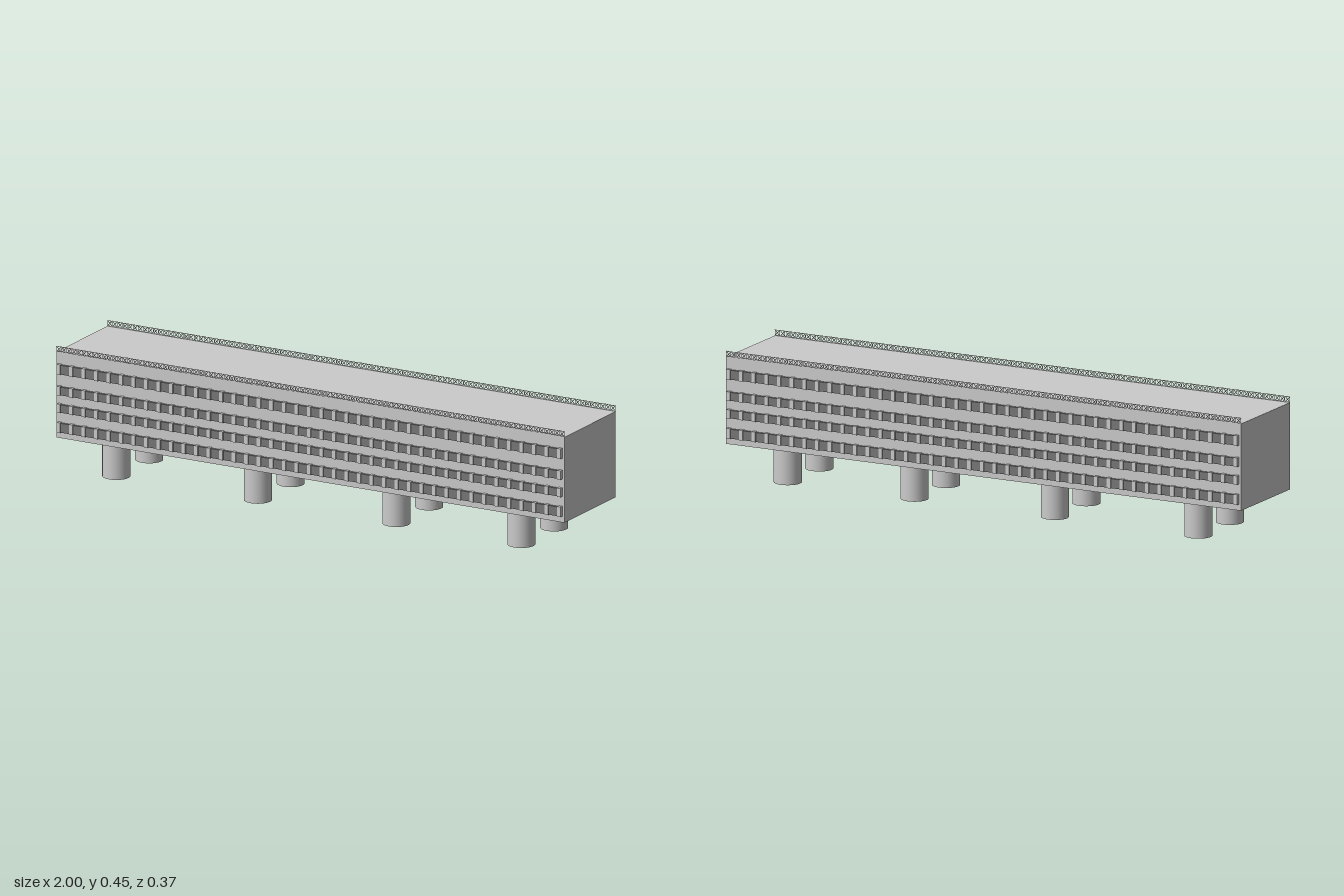
import * as THREE from 'three';
import { mergeGeometries } from 'three/addons/utils/BufferGeometryUtils.js';

const BOTTOM = 0.123, TOP = 0.428, HALF_DEPTH = 0.174;

export function createModel() {
  const group = new THREE.Group();
  const grey = new THREE.MeshStandardMaterial({ color: 0xcccccc });
  const dark = new THREE.MeshStandardMaterial({ color: 0x777777 });
  const railMat = new THREE.MeshStandardMaterial({ color: 0xcccccc, side: THREE.DoubleSide });

  const add = (name, geometry, material) => {
    const mesh = new THREE.Mesh(geometry, material);
    mesh.name = name;
    group.add(mesh);
    return mesh;
  };
  const box = (w, h, d, x, y, z) => new THREE.BoxGeometry(w, h, d).translate(x, y, z);

  // Main block
  add('building', box(2, TOP - BOTTOM, HALF_DEPTH * 2, 0, (TOP + BOTTOM) / 2, 0), grey);

  // Window rows: [bottom, top]
  const rows = [[0.145, 0.181], [0.216, 0.247], [0.278, 0.31], [0.352, 0.388]];
  // Roof railing: flat lattice of thin strips
  const cells = 100, cell = 2 / cells, railHeight = 0.021, strip = 0.0025;
  const slope = Math.atan2(railHeight, cell), diagonal = Math.hypot(railHeight, cell);
  const flat = (w, h, x, y, z, turn = 0) =>
    new THREE.PlaneGeometry(w, h).rotateZ(turn).translate(x, y, z);

  for (const side of [1, -1]) {
    const label = side > 0 ? 'front' : 'back';

    rows.forEach(([low, high], i) => {
      const mid = (low + high) / 2, h = high - low;
      // Continuous dark glass band
      add(`${label}WindowBand${i + 1}`, box(1.97, h - 0.003, 0.012, 0, mid - 0.001, side * 0.177), dark);
      // Projecting upright dividers
      const dividers = [];
      for (let k = 0; k <= 40; k++) {
        dividers.push(box(0.014, h, 0.016, -0.985 + k * 1.97 / 40, mid, side * 0.179));
      }
      add(`${label}WindowDividers${i + 1}`, mergeGeometries(dividers), grey);
    });

    const z = side * HALF_DEPTH, midY = TOP + railHeight / 2;
    const strips = [
      flat(2, strip, 0, TOP + railHeight - strip / 2, z),
      flat(2, strip, 0, TOP + strip / 2, z),
    ];
    for (let k = 0; k < cells; k++) {
      const x = -1 + (k + 0.5) * cell;
      strips.push(flat(diagonal, strip, x, midY, z, slope), flat(diagonal, strip, x, midY, z, -slope));
      strips.push(flat(strip, railHeight, x - cell / 2 + strip / 2, midY, z));
    }
    strips.push(flat(strip, railHeight, 1 - strip / 2, midY, z));
    add(`${label}RoofRailing`, mergeGeometries(strips), railMat);

    // Round support columns
    [-0.8, -0.243, 0.302, 0.794].forEach((x, i) => {
      const column = add(`${label}Column${i + 1}`, new THREE.CylinderGeometry(0.048, 0.048, BOTTOM, 32), grey);
      column.position.set(x, BOTTOM / 2, side * 0.112);
    });
  }
  return group;
}
